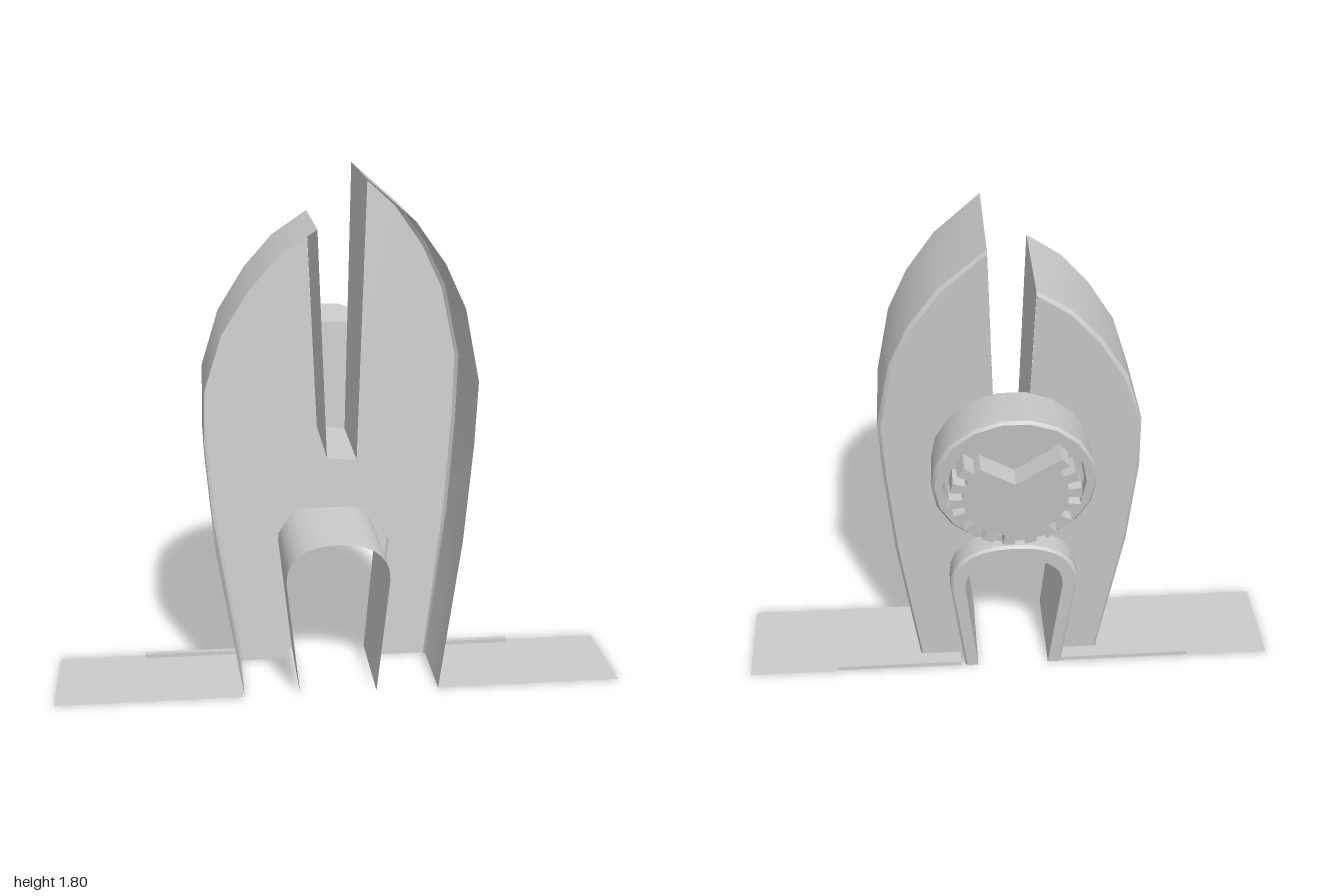
import * as THREE from 'three';
import { toCreasedNormals } from 'three/addons/utils/BufferGeometryUtils.js';

const FRONT = 0.33;
const plateZ = y => 0.04 - 0.085 * y;          // sloping back panel
const rimZ = y => -0.04 - 0.113 * y;           // back edge of the arch hood
const faceZ = y => -0.2 - 0.162 * (y - 0.71);  // tilted end of the round boss

// Surface through rows of [x, y, z] points
function loft(rows, crease = 0.6) {
  const n = rows[0].length, index = [];
  for (let i = 0; i < rows.length - 1; i++) {
    for (let j = 0; j < n - 1; j++) {
      const a = i * n + j, d = a + n;
      index.push(a, a + 1, d + 1, a, d + 1, d);
    }
  }
  const g = new THREE.BufferGeometry();
  g.setAttribute('position', new THREE.Float32BufferAttribute(rows.flat(2), 3));
  g.setIndex(index);
  return toCreasedNormals(g, crease);
}

// Replace z of every vertex by a rule
function bendZ(g, rule) {
  const p = g.attributes.position;
  for (let i = 0; i < p.count; i++) p.setZ(i, rule(p.getY(i), p.getZ(i)));
  g.computeVertexNormals();
  return g;
}

const atZ = (path, z) => path.map(([x, y]) => [x, y, typeof z === 'function' ? z(y) : z]);

// Arch path from the left foot over the top to the right foot
function arch(foot, side, spring, top, steps = 14) {
  const cx = -0.01, pts = [[cx - foot, 0]];
  for (let i = 0; i <= steps; i++) {
    const t = Math.PI * (1 - i / steps);
    const c = Math.cos(t);
    pts.push([cx + side * Math.sign(c) * Math.abs(c) ** 0.85,
      spring + (top - spring) * Math.sin(t) ** 0.85]);
  }
  pts.push([cx + foot, 0]);
  return pts;
}

export function createModel() {
  const model = new THREE.Group();
  const mat = new THREE.MeshStandardMaterial({ color: 0xcccccc, side: THREE.DoubleSide });
  const add = (name, geometry) => {
    const mesh = new THREE.Mesh(geometry, mat);
    mesh.name = name;
    model.add(mesh);
    return mesh;
  };

  // Outer silhouette: short half, slot, tall half
  const shortSide = [[-0.34, 0], [-0.43, 0.55], [-0.46, 0.9], [-0.455, 1.11], [-0.395, 1.3],
    [-0.3, 1.45], [-0.2, 1.56], [-0.08, 1.64]];
  const slot = [[-0.08, 1.64], [-0.05, 0.87], [0.05, 0.86], [0.08, 1.8]];
  const tallSide = [[0.08, 1.8], [0.24, 1.66], [0.34, 1.52], [0.41, 1.37], [0.46, 1.12],
    [0.45, 0.9], [0.42, 0.55], [0.345, 0]];
  const inset = path => path.map(([x, y]) => [
    Math.abs(x) < 0.1 ? x : x * 0.975, y > 1.2 ? y - 0.012 : y]);

  // Side walls with a small chamfer at the back
  for (const [name, path] of [['shortSideWall', shortSide], ['tallSideWall', tallSide]]) {
    add(name, loft([atZ(path, FRONT), atZ(path, y => plateZ(y) + 0.013), atZ(inset(path), plateZ)]));
  }
  add('slotWalls', loft([atZ(slot, FRONT), atZ(slot, plateZ)]));

  // Back panel with the slot and arch opening cut out
  const opening = [[0.155, 0], [0.21, 0.44], [0.125, 0.57], [-0.135, 0.57], [-0.22, 0.44], [-0.16, 0]];
  const outline = [...inset(shortSide), ...slot.slice(1, 3), ...inset(tallSide), ...opening];
  const panel = new THREE.ShapeGeometry(
    new THREE.Shape(outline.map(([x, y]) => new THREE.Vector2(x, y))));
  add('backPanel', bendZ(panel, plateZ));

  // Arch tunnel and the raised hood around its back end
  const inner = arch(0.135, 0.18, 0.42, 0.555);
  const lip = arch(0.175, 0.225, 0.42, 0.61);
  const outer = arch(0.185, 0.235, 0.42, 0.62);
  add('archTunnel', loft([atZ(inner, rimZ), atZ(inner, FRONT)]));
  add('archHood', loft([atZ(outer, plateZ), atZ(outer, y => rimZ(y) + 0.01),
    atZ(lip, rimZ), atZ(inner, rimZ)]));

  // Round boss with a sunken face: [radius, share of depth, offset from the end]
  const bossRow = (r, end, dz, sides = 18) => Array.from({ length: sides + 1 }, (_, i) => {
    const t = -2 * Math.PI * i / sides;
    const y = 0.97 + r * Math.sin(t) + end * 0.017;
    return [r * Math.cos(t), y, (end ? faceZ(y) : plateZ(y)) + dz];
  });
  add('roundBoss', loft([
    bossRow(0, 0, -0.002), bossRow(0.28, 0, -0.002), bossRow(0.283, 1, 0.012),
    bossRow(0.273, 1, 0), bossRow(0.245, 1, 0), bossRow(0.24, 1, 0.035), bossRow(0, 1, 0.035),
  ]));

  // Toothed plate inside the boss, with a V notch at the top
  const cog = new THREE.Shape();
  const teeth = 14, cy = 0.97;
  cog.moveTo(0, cy + 0.06);
  for (let i = 0; i < teeth; i++) {
    const start = Math.PI * 0.73, sweep = Math.PI * 1.54 / teeth;
    [[0, 0.225], [0.55, 0.225], [0.55, 0.18], [1, 0.18]].forEach(([f, r]) => {
      const t = start + (i + f) * sweep;
      cog.lineTo(r * Math.cos(t), cy + r * Math.sin(t));
    });
  }
  cog.closePath();
  const cogGeometry = new THREE.ExtrudeGeometry(cog, { depth: 0.09, bevelEnabled: false });
  add('toothedPlate', bendZ(cogGeometry, (y, z) => faceZ(y) + z - 0.055));

  // Flat ground wings and their thin bars, one on each side
  for (const s of [-1, 1]) {
    const corners = [[0.345, -FRONT], [1, -FRONT], [1, 0.04], [0.19, 0.04], [0.19, -0.04], [0.345, -0.04]];
    const wing = new THREE.ShapeGeometry(
      new THREE.Shape(corners.map(([x, y]) => new THREE.Vector2(s * x, y))));
    wing.rotateX(-Math.PI / 2);
    add(s > 0 ? 'leftWing' : 'rightWing', wing);
    const end = s > 0 ? 0.665 : 0.69;
    const bar = add(s > 0 ? 'leftBar' : 'rightBar', new THREE.BoxGeometry(end - 0.19, 0.015, 0.02));
    bar.position.set(s * (end + 0.19) / 2, 0.0075, -0.025);
  }
  return model;
}
